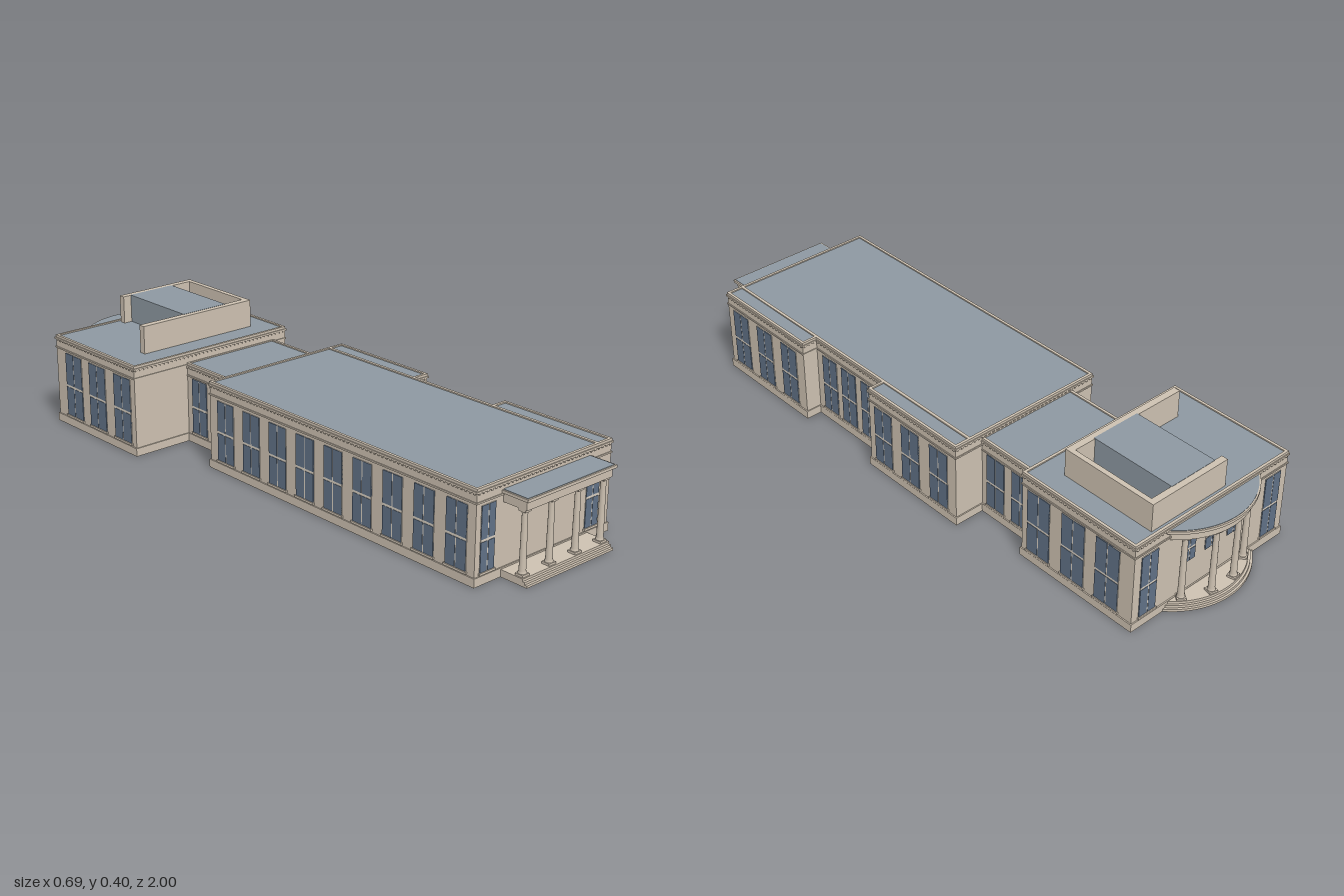
import * as THREE from 'three';
import { mergeGeometries } from 'three/addons/utils/BufferGeometryUtils.js';

const mat = (name, color) => Object.assign(new THREE.MeshStandardMaterial({ color }), { name });

export function createModel() {
  const stone = mat('limestone', 0xcdc1b1);
  const roofing = mat('slate roofing', 0x8d98a1);
  const glass = mat('window glass', 0x607186);
  const trim = mat('window frame', 0xd8cfc2);
  const model = new THREE.Group();

  const add = (parent, name, geo, material) => {
    const m = new THREE.Mesh(geo, material);
    m.name = name;
    parent.add(m);
    return m;
  };
  const box = (parent, name, x0, x1, y0, y1, z0, z1, material = stone) => {
    const m = add(parent, name, new THREE.BoxGeometry(x1 - x0, y1 - y0, z1 - z0), material);
    m.position.set((x0 + x1) / 2, (y0 + y1) / 2, (z0 + z1) / 2);
    return m;
  };
  const group = (name, parent = model) => {
    const g = new THREE.Group();
    g.name = name;
    parent.add(g);
    return g;
  };

  // Footprints are [x, z] points; grow moves every side outward by d
  const rect = (x0, x1, z0, z1) => [[x0, z0], [x1, z0], [x1, z1], [x0, z1]];
  const grow = (pts, d) => pts.map((p, i) => {
    const a = pts[(i + pts.length - 1) % pts.length], b = pts[(i + 1) % pts.length];
    const normal = (s, e) => {
      const l = Math.hypot(e[0] - s[0], e[1] - s[1]);
      return [(e[1] - s[1]) / l, -(e[0] - s[0]) / l];
    };
    const n = normal(a, p), m = normal(p, b);
    return [p[0] + d * (n[0] + m[0]), p[1] + d * (n[1] + m[1])];
  });
  const slabGeo = (pts, y0, y1, hole) => {
    const vec = (list) => list.map(([x, z]) => new THREE.Vector2(x, z));
    const shape = new THREE.Shape(vec(pts));
    if (hole) shape.holes.push(new THREE.Path(vec(hole)));
    return new THREE.ExtrudeGeometry(shape, { depth: y1 - y0, bevelEnabled: false })
      .rotateX(Math.PI / 2).translate(0, y1, 0);
  };

  // Row of small blocks under a cornice
  const dentils = (parent, pts, y) => {
    const blocks = [];
    pts.forEach((p, i) => {
      const q = pts[(i + 1) % pts.length];
      const n = Math.floor(Math.hypot(q[0] - p[0], q[1] - p[1]) / 0.016);
      for (let k = 0; k < n; k++) {
        const t = (k + 0.5) / n;
        blocks.push(new THREE.BoxGeometry(0.006, 0.005, 0.006)
          .translate(p[0] + (q[0] - p[0]) * t, y, p[1] + (q[1] - p[1]) * t));
      }
    });
    add(parent, 'dentils', mergeGeometries(blocks), stone);
  };

  // One building volume: hollow plinth, walls, frieze band, cornice, parapet and roof
  const building = (name, pts, h) => {
    const g = group(name);
    add(g, 'plinth', slabGeo(grow(pts, 0.004), 0, 0.027, grow(pts, -0.012)), stone);
    add(g, 'walls', slabGeo(pts, 0.026, h - 0.009), stone);
    add(g, 'friezeBand', slabGeo(grow(pts, 0.003), h - 0.045, h - 0.04), stone);
    add(g, 'cornice', slabGeo(grow(pts, 0.004), h - 0.014, h - 0.008), stone);
    add(g, 'parapet', slabGeo(grow(pts, 0.001), h - 0.01, h, grow(pts, -0.008)), stone);
    add(g, 'roof', slabGeo(grow(pts, -0.007), h - 0.012, h - 0.004), roofing);
    dentils(g, pts, h - 0.0165);
    return g;
  };

  const mainHall = building('mainHall', [[-0.219, -0.24], [0.339, -0.24], [0.339, 0.16], [0.285, 0.16],
    [0.285, 0.49], [0.339, 0.49], [0.339, 0.9], [-0.219, 0.9]], 0.289);
  box(mainHall, 'wingParapet', 0.276, 0.286, 0.27, 0.289, -0.235, 0.895);
  building('connector', rect(-0.13, 0.235, -0.475, -0.235), 0.27);
  const rearBlock = building('rearBlock', rect(-0.342, 0.288, -0.91, -0.47), 0.305);

  // Rooftop screen walls and plant room
  const pent = group('rooftopScreen', rearBlock);
  box(pent, 'frontScreen', -0.235, 0.209, 0.298, 0.394, -0.58, -0.557);
  box(pent, 'sideScreen', 0.192, 0.209, 0.298, 0.394, -0.89, -0.578);
  box(pent, 'backScreen', -0.09, 0.209, 0.298, 0.394, -0.892, -0.87);
  box(pent, 'plantRoom', -0.06, 0.115, 0.298, 0.395, -0.872, -0.575, roofing);

  // Paired two-tier window with a sill; its own front faces +z before turning
  const windowAt = (x, z, turn, w, y0 = 0.037, y1 = 0.235, sill = true) => {
    const g = group('window');
    g.position.set(x, 0, z);
    g.rotation.y = turn;
    box(g, 'frame', -w / 2, w / 2, y0, y1, -0.003, 0.002, trim);
    const mid = y0 + (y1 - y0) * 0.475;
    for (const s of [-1, 1]) {
      for (const [a, b] of [[y0, mid - 0.004], [mid + 0.004, y1]]) {
        const inner = s * 0.002, outer = s * w / 2;
        box(g, 'pane', Math.min(inner, outer), Math.max(inner, outer), a, b, 0, 0.003, glass);
      }
    }
    if (sill) box(g, 'sill', -w / 2 - 0.004, w / 2 + 0.004, y0 - 0.007, y0, -0.003, 0.006);
  };
  const east = Math.PI / 2, west = -Math.PI / 2, back = Math.PI;

  // Left-hand (+x) side windows
  for (const z of [0.83, 0.7, 0.57, 0.093, -0.033, -0.163]) windowAt(0.339, z, east, 0.08);
  for (const z of [0.425, 0.33, 0.232]) windowAt(0.285, z, east, 0.07);
  for (const z of [-0.3, -0.407]) {
    windowAt(0.235, z, east, 0.074, 0.037, 0.222);
    windowAt(-0.13, z, west, 0.074, 0.037, 0.222);
  }
  for (const z of [-0.538, -0.677, -0.811]) {
    windowAt(0.288, z, east, 0.09, 0.037, 0.254);
    windowAt(-0.342, z, west, 0.09, 0.037, 0.254);
  }
  // Right-hand (-x) side windows of the hall
  for (let i = 0; i < 9; i++) windowAt(-0.219, 0.83 - i * 0.124, west, 0.078);
  // Front and rear windows
  for (const x of [-0.172, 0.264]) windowAt(x, 0.9, 0, 0.055);
  for (const x of [-0.282, 0.228]) windowAt(x, -0.91, back, 0.065, 0.037, 0.25);
  for (const x of [-0.12, -0.027, 0.066]) windowAt(x, -0.91, back, 0.05, 0.13, 0.225, false);

  // Column with square plinth, turned shaft and square capital
  const column = (parent, x, z, y0, y1, turn = 0) => {
    const g = group('column', parent);
    g.position.set(x, 0, z);
    g.rotation.y = turn;
    box(g, 'base', -0.014, 0.014, y0, y0 + 0.007, -0.014, 0.014);
    const profile = [[0.0125, y0 + 0.007], [0.0125, y0 + 0.012], [0.0105, y0 + 0.014],
      [0.0085, y1 - 0.014], [0.0115, y1 - 0.008]].map((p) => new THREE.Vector2(...p));
    add(g, 'shaft', new THREE.LatheGeometry(profile, 20), stone);
    box(g, 'capital', -0.0125, 0.0125, y1 - 0.008, y1, -0.0125, 0.0125);
  };

  // Front portico
  const portico = group('frontPortico');
  for (let i = 0; i < 3; i++) {
    box(portico, 'step', -0.117, 0.248, i * 0.0075, (i + 1) * 0.0075, 0.895, 1 - i * 0.008);
  }
  for (let i = 0; i < 4; i++) column(portico, -0.099 + i * 0.109, 0.966, 0.0225, 0.222);
  box(portico, 'entablature', -0.113, 0.243, 0.222, 0.25, 0.895, 0.984);
  box(portico, 'cornice', -0.12, 0.251, 0.25, 0.259, 0.895, 0.993);
  box(portico, 'porticoRoof', -0.115, 0.246, 0.255, 0.2605, 0.897, 0.988, roofing);

  // Curved rear portico: slabs are circle segments closed against the wall
  const cx = -0.027, cz = -0.745;
  const segment = (r) => {
    const a = Math.acos(0.16 / r);
    return Array.from({ length: 41 }, (_, i) => {
      const t = -a + (2 * a * i) / 40;
      return [cx + r * Math.sin(t), cz - r * Math.cos(t)];
    });
  };
  const rotunda = group('rearPortico');
  for (let i = 0; i < 3; i++) {
    add(rotunda, 'curvedStep', slabGeo(segment(0.255 - i * 0.007), i * 0.0085, (i + 1) * 0.0085), stone);
  }
  for (const deg of [-36, -12, 12, 36]) {
    const t = THREE.MathUtils.degToRad(deg);
    column(rotunda, cx + 0.225 * Math.sin(t), cz - 0.225 * Math.cos(t), 0.0255, 0.252, -t);
  }
  add(rotunda, 'curvedEntablature', slabGeo(segment(0.243), 0.252, 0.28), stone);
  add(rotunda, 'curvedCornice', slabGeo(segment(0.254), 0.28, 0.289), stone);
  add(rotunda, 'curvedRoof', slabGeo(segment(0.249), 0.286, 0.2905), roofing);

  return model;
}
